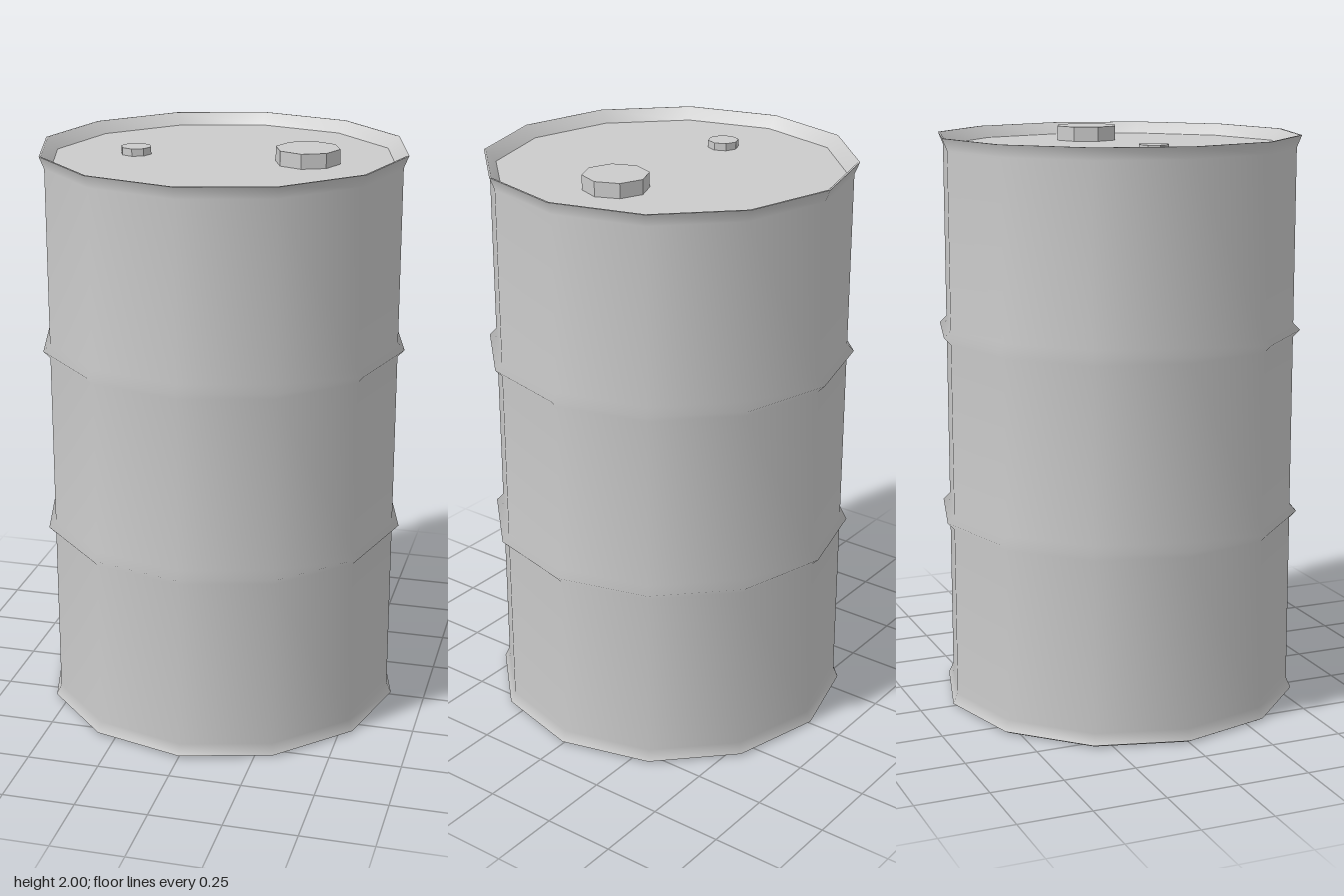
import * as THREE from 'three';

const SIDES = 12;
const material = new THREE.MeshStandardMaterial({ color: 0xcccccc });

// Revolve a profile of [radius, height] pairs, listed bottom to top on the outside
function turned(name, profile) {
  const points = profile.map(([r, y]) => new THREE.Vector2(r, y));
  const mesh = new THREE.Mesh(new THREE.LatheGeometry(points, SIDES), material);
  mesh.name = name;
  return mesh;
}

// Eight-sided plug standing on the lid
function plug(name, x, radius, bottom, top) {
  const geometry = new THREE.CylinderGeometry(radius, radius, top - bottom, 8).toNonIndexed();
  geometry.computeVertexNormals();
  const mesh = new THREE.Mesh(geometry, material);
  mesh.name = name;
  mesh.position.set(x, (bottom + top) / 2, 0);
  return mesh;
}

export function createModel() {
  const group = new THREE.Group();
  group.name = 'barrel';

  const R = 0.613, rimR = 0.63, ribR = 0.637;
  const lidY = 1.95, rimY = 1.99;

  // Wall with flared ends and two raised hoops
  const wall = [[rimR, 0.008], [R, 0.045]];
  for (const y of [0.67, 1.32]) wall.push([R, y - 0.025], [ribR, y], [R, y + 0.025]);
  wall.push([R, 1.948], [rimR, rimY]);
  group.add(turned('wall', wall));

  // Sloped inner lip and sunken lid
  group.add(turned('rimLip', [[rimR, rimY], [0.623, rimY], [0.59, lidY]]));
  group.add(turned('lid', [[0.59, lidY], [0, lidY]]));

  // Base with a narrow bevel
  group.add(turned('base', [[0, 0], [0.615, 0]]));
  group.add(turned('baseBevel', [[0.615, 0], [rimR, 0.008]]));

  // Filler and vent plugs
  group.add(plug('fillerPlug', 0.29, 0.11, lidY, 2));
  group.add(plug('ventPlug', -0.307, 0.053, lidY, 1.975));

  return group;
}
